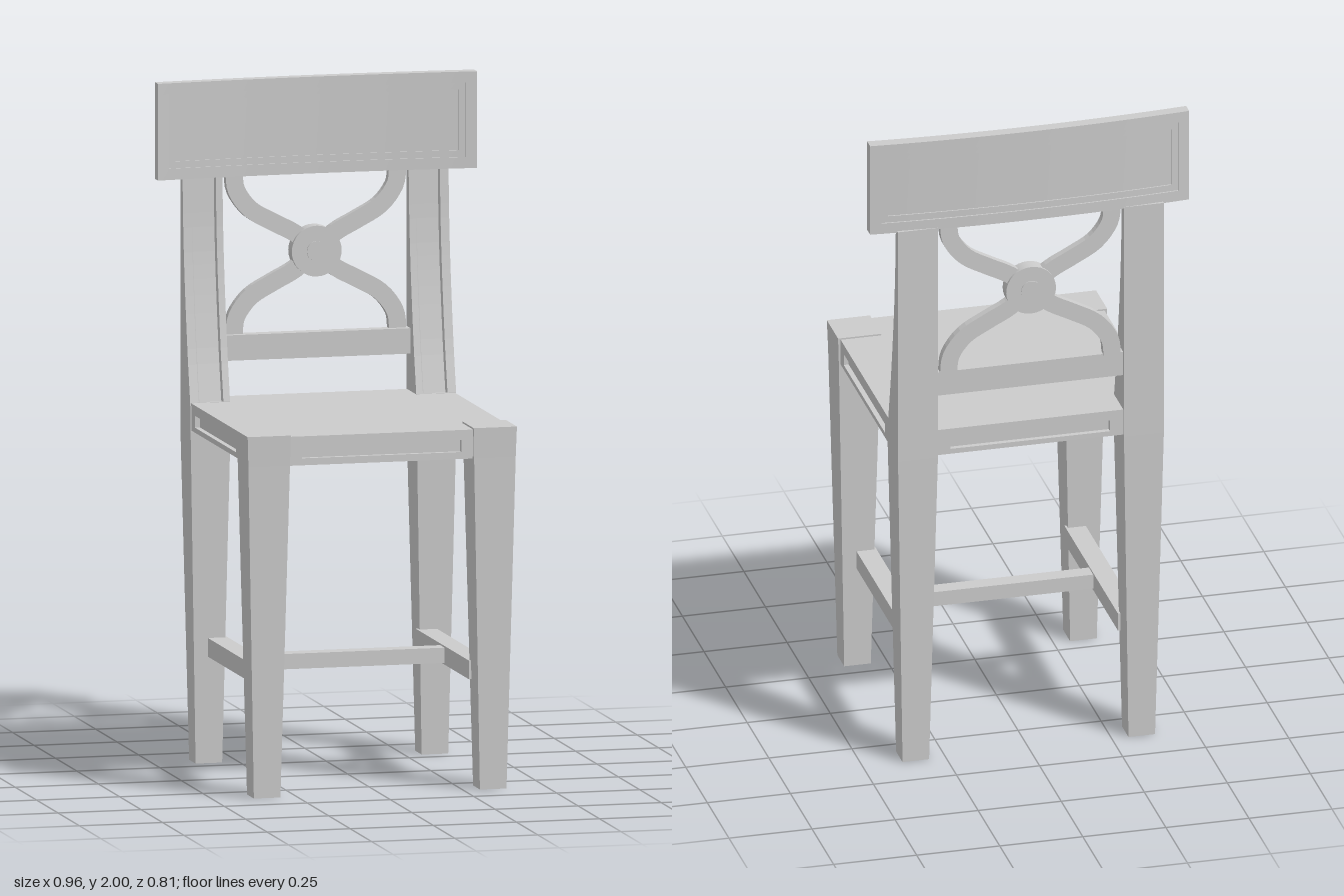
import * as THREE from 'three';

const material = new THREE.MeshStandardMaterial({ color: 0xcccccc });

// Closed solid through rings of [x, y, z], each counter-clockwise seen from above, bottom ring first.
function loft(rings) {
  const pos = [];
  const tri = (a, b, c) => pos.push(...a, ...b, ...c);
  const n = rings[0].length;
  for (let r = 0; r < rings.length - 1; r++) {
    for (let i = 0; i < n; i++) {
      const j = (i + 1) % n, a = rings[r], b = rings[r + 1];
      tri(a[i], a[j], b[j]);
      tri(a[i], b[j], b[i]);
    }
  }
  const low = rings[0], high = rings[rings.length - 1];
  for (let i = 1; i < n - 1; i++) {
    tri(low[0], low[i + 1], low[i]);
    tri(high[0], high[i], high[i + 1]);
  }
  const g = new THREE.BufferGeometry();
  g.setAttribute('position', new THREE.Float32BufferAttribute(pos, 3));
  g.computeVertexNormals();
  return g;
}

const rectRing = (y, x0, x1, z0, z1) => [[x1, y, z1], [x1, y, z0], [x0, y, z0], [x0, y, z1]];

// Mirrors rings to the other side, keeping their winding.
const onSide = (rings, s) => s > 0 ? rings : rings.map(r => r.map(([x, y, z]) => [-x, y, z]).reverse());

// Box given by its limits, optionally subdivided along x.
function boxGeo(x0, x1, y0, y1, z0, z1, segments = 1) {
  return new THREE.BoxGeometry(x1 - x0, y1 - y0, z1 - z0, segments, 1, 1)
    .translate((x0 + x1) / 2, (y0 + y1) / 2, (z0 + z1) / 2);
}

export function createModel() {
  const chair = new THREE.Group();
  chair.name = 'chair';
  const add = (name, geometry, parent = chair) => {
    const mesh = new THREE.Mesh(geometry, material);
    mesh.name = name;
    parent.add(mesh);
    return mesh;
  };

  // Tapered legs, and the back posts that rise from the rear pair
  const postFront = new THREE.SplineCurve([[1.065, -0.285], [1.22, -0.318], [1.42, -0.35], [1.57, -0.366], [1.72, -0.374]]
    .map(p => new THREE.Vector2(...p)));
  for (const s of [1, -1]) {
    const side = s > 0 ? 'left' : 'right';
    add(side + 'FrontLeg', loft(onSide([
      rectRing(0, 0.3, 0.38, 0.3, 0.38),
      rectRing(0.98, 0.277, 0.402, 0.277, 0.402),
      rectRing(1.07, 0.275, 0.405, 0.275, 0.405)], s)));
    add(side + 'BackLeg', loft(onSide([
      rectRing(0, 0.3, 0.38, -0.375, -0.3),
      rectRing(0.98, 0.28, 0.4, -0.4, -0.28),
      rectRing(1.066, 0.28, 0.4, -0.4, -0.285)], s)));
    // Post with a shallow channel down its front
    const rings = postFront.getPoints(16).map(({ x: y, y: z }) => [
      [0.4, y, z], [0.4, y, -0.4], [0.28, y, -0.4], [0.28, y, z],
      [0.3, y, z], [0.304, y, z - 0.009], [0.37, y, z - 0.009], [0.374, y, z]]);
    add(side + 'BackPost', loft(onSide(rings, s)));
    add(side + 'Stretcher', loft(onSide([
      rectRing(0.315, 0.285, 0.345, -0.31, 0.31),
      rectRing(0.37, 0.285, 0.345, -0.31, 0.31)], s)));
  }
  add('crossStretcher', boxGeo(-0.29, 0.29, 0.32, 0.365, -0.025, 0.025));

  // Seat with a slotted apron on every side
  add('seat', boxGeo(-0.382, 0.382, 0.977, 1.065, -0.377, 0.382));
  const apron = new THREE.Shape([[-0.382, 0.985], [0.382, 0.985], [0.382, 1.065], [-0.382, 1.065]]
    .map(p => new THREE.Vector2(...p)));
  apron.holes.push(new THREE.Path([[-0.24, 1.0], [-0.24, 1.035], [0.24, 1.035], [0.24, 1.0]]
    .map(p => new THREE.Vector2(...p))));
  ['front', 'left', 'back', 'right'].forEach((name, i) => {
    const g = new THREE.ExtrudeGeometry(apron, { depth: 0.02, bevelEnabled: false });
    g.translate(0, 0, name === 'back' ? 0.372 : 0.377).rotateY(i * Math.PI / 2);
    add(name + 'Apron', g);
  });

  // Bowed crest rail: rim, stepped moulding and recessed panel on both faces
  const crest = new THREE.Group();
  crest.name = 'crestRail';
  chair.add(crest);
  const bow = g => {
    const p = g.attributes.position;
    for (let i = 0; i < p.count; i++) {
      p.setZ(i, p.getZ(i) - 0.3875 + 0.02 * (p.getX(i) / 0.48) ** 2);
    }
    g.computeVertexNormals();
    return g;
  };
  const frame = (name, x, y0, y1, w, t) => {
    add(name + 'Top', bow(boxGeo(-x, x, y1 - w, y1, -t, t, 24)), crest);
    add(name + 'Bottom', bow(boxGeo(-x, x, y0, y0 + w, -t, t, 24)), crest);
    for (const s of [-1, 1]) {
      add(name + 'End', bow(boxGeo(s * (x - w / 2) - w / 2, s * (x - w / 2) + w / 2, y0 + w, y1 - w, -t, t)), crest);
    }
  };
  frame('rim', 0.48, 1.715, 2.0, 0.033, 0.0175);
  frame('moulding', 0.447, 1.748, 1.967, 0.02, 0.013);
  add('panel', bow(boxGeo(-0.43, 0.43, 1.765, 1.95, -0.009, 0.009, 24)), crest);

  // Lower back rail
  add('lowerBackRail', boxGeo(-0.285, 0.285, 1.175, 1.25, -0.39, -0.352));

  // Four ogee braces meeting at the centre
  const middle = 1.487, half = 0.026;
  for (const sx of [1, -1]) for (const sy of [1, -1]) {
    const curve = new THREE.SplineCurve([[0, 0], [0.06, 0.052], [0.125, 0.087], [0.195, 0.128], [0.238, 0.185], [0.246, 0.24]]
      .map(([x, y]) => new THREE.Vector2(x * sx, middle + y * sy)));
    const near = [], far = [];
    for (let i = 0; i <= 20; i++) {
      const p = curve.getPoint(i / 20), t = curve.getTangent(i / 20);
      near.push(new THREE.Vector2(p.x - t.y * half, p.y + t.x * half));
      far.unshift(new THREE.Vector2(p.x + t.y * half, p.y - t.x * half));
    }
    const g = new THREE.ExtrudeGeometry(new THREE.Shape([...near, ...far]), { depth: 0.024, bevelEnabled: false });
    add('backBrace', g.translate(0, 0, -0.394));
  }

  // Turned rosette with a small boss
  const disc = (name, r, z0, z1) => add(name,
    new THREE.CylinderGeometry(r, r, z1 - z0, 32).rotateX(Math.PI / 2).translate(0, middle, (z0 + z1) / 2));
  disc('rosette', 0.075, -0.402, -0.36);
  disc('rosetteBoss', 0.03, -0.405, -0.356);

  return chair;
}
